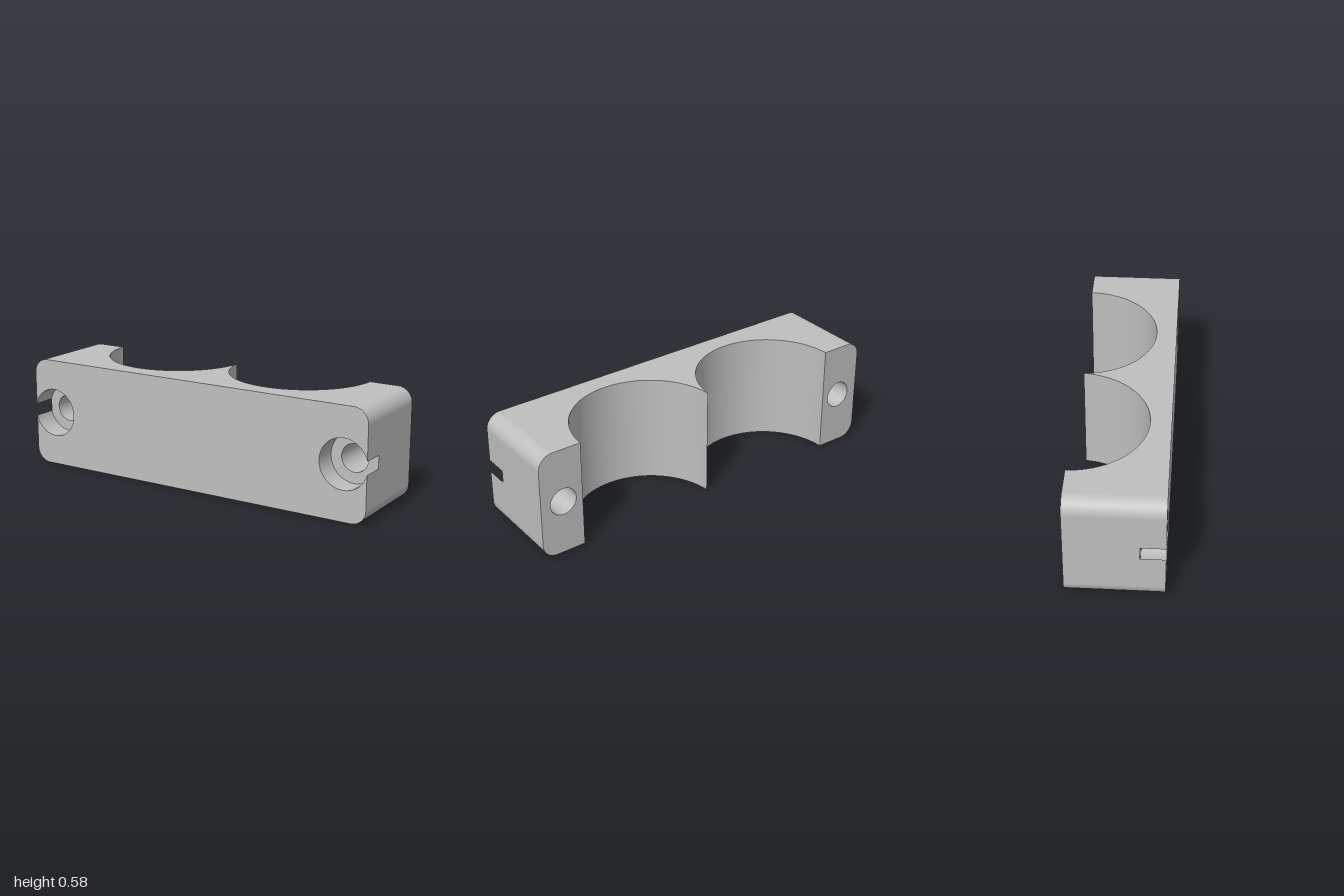
import * as THREE from 'three';

const H = 0.577, M = H / 2, D = 0.242, R = 0.078;       // height, mid height, half depth, corner radius
const SX = 0.383, SZ = -0.248, SR = 0.384;              // scoop axis and radius
const HX = 0.875, HR = 0.072, CR = 0.1293, CZ = 0.119;  // screw hole, counterbore and its floor
const NA = Math.acos((1 - HX) / CR), NH = CR * Math.sin(NA); // where the counterbore breaks the end
const OUT = Math.asin((-D - SZ) / SR), TIP = Math.acos(SX / SR); // scoop end angles
const SEG = 32, PI = Math.PI;

// turn a surface inside out
function flip(geo) {
  geo.index.array.reverse();
  const n = geo.attributes.normal;
  for (let i = 0; i < n.array.length; i++) n.array[i] *= -1;
  return geo;
}

const face = (shape) => new THREE.ShapeGeometry(shape, SEG);

// open cylinder wall along z
const bore = (r, z0, z1, start = 0, length = 2 * PI) =>
  new THREE.CylinderGeometry(r, r, z1 - z0, SEG * 2, 1, true, start, length)
    .rotateX(PI / 2).translate(0, 0, (z0 + z1) / 2);

function frontShape() {
  const s = new THREE.Shape();
  s.moveTo(R - 1, 0);
  s.lineTo(1 - R, 0);
  s.absarc(1 - R, R, R, -PI / 2, 0, false);
  s.lineTo(1, M - NH);
  s.absarc(HX, M, CR, -NA, NA - 2 * PI, true);
  s.lineTo(1, H - R);
  s.absarc(1 - R, H - R, R, 0, PI / 2, false);
  s.lineTo(R - 1, H);
  s.absarc(R - 1, H - R, R, PI / 2, PI, false);
  s.lineTo(-1, M + NH);
  s.absarc(-HX, M, CR, PI - NA, NA - PI, true);
  s.lineTo(-1, R);
  s.absarc(R - 1, R, R, PI, PI * 1.5, false);
  return s;
}

// outline seen from above, with y standing for -z
function topShape() {
  const s = new THREE.Shape();
  s.moveTo(R - 1, -D);
  s.lineTo(1 - R, -D);
  s.lineTo(1 - R, D);
  s.absarc(SX, -SZ, SR, -OUT, TIP - PI, true);
  s.absarc(-SX, -SZ, SR, -TIP, OUT - PI, true);
  s.lineTo(R - 1, D);
  return s;
}

function backShape() {
  const s = new THREE.Shape();
  const x = SX + SR * Math.cos(OUT);
  s.moveTo(x, 0);
  s.lineTo(1 - R, 0);
  s.absarc(1 - R, R, R, -PI / 2, 0, false);
  s.lineTo(1, H - R);
  s.absarc(1 - R, H - R, R, 0, PI / 2, false);
  s.lineTo(x, H);
  s.holes.push(new THREE.Path().absarc(HX, M, HR, 0, 2 * PI, true));
  return s;
}

// counterbore floor, cut off flush with the end of the block
function shelfShape() {
  const s = new THREE.Shape();
  s.absarc(HX, M, CR, NA, 2 * PI - NA, false);
  s.holes.push(new THREE.Path().absarc(HX, M, HR, 0, 2 * PI, true));
  return s;
}

// flat end with the slot left by the counterbore, x standing for -z
function endShape() {
  return new THREE.Shape([
    [-D, R], [D, R], [D, H - R], [-D, H - R],
    [-D, M + NH], [-CZ, M + NH], [-CZ, M - NH], [-D, M - NH],
  ].map(([x, y]) => new THREE.Vector2(x, y)));
}

export function createModel() {
  const model = new THREE.Group();
  model.name = 'doubleClampBlock';
  const grey = new THREE.MeshStandardMaterial({ color: 0xbfbfbf });
  grey.name = 'grey';
  const add = (parent, name, geo) => {
    const mesh = new THREE.Mesh(geo, grey);
    mesh.name = name;
    parent.add(mesh);
  };

  add(model, 'frontFace', face(frontShape()).translate(0, 0, D));
  add(model, 'topFace', face(topShape()).rotateX(-PI / 2).translate(0, H, 0));
  add(model, 'bottomFace', flip(face(topShape()).rotateX(-PI / 2)));

  // the two halves are the same, turned half round about the front axis
  for (const side of ['left', 'right']) {
    const half = new THREE.Group();
    half.name = side + 'Half';
    if (side === 'right') {
      half.rotation.z = PI;
      half.position.y = H;
    }
    add(half, 'scoop', flip(new THREE.CylinderGeometry(SR, SR, H, SEG * 2, 1, true,
      TIP - PI / 2, PI - TIP - OUT).translate(SX, M, SZ)));
    add(half, 'backFace', flip(face(backShape()).translate(0, 0, -D)));
    add(half, 'endFace', face(endShape()).rotateY(PI / 2).translate(1, 0, 0));
    add(half, 'lowerCorner', bore(R, -D, D, 0, PI / 2).translate(1 - R, R, 0));
    add(half, 'upperCorner', bore(R, -D, D, PI / 2, PI / 2).translate(1 - R, H - R, 0));
    add(half, 'screwHole', flip(bore(HR, -D, CZ).translate(HX, M, 0)));
    add(half, 'counterbore', flip(bore(CR, CZ, D, PI / 2 + NA, 2 * PI - 2 * NA).translate(HX, M, 0)));
    add(half, 'counterboreFloor', face(shelfShape()).translate(0, 0, CZ));
    model.add(half);
  }
  return model;
}
